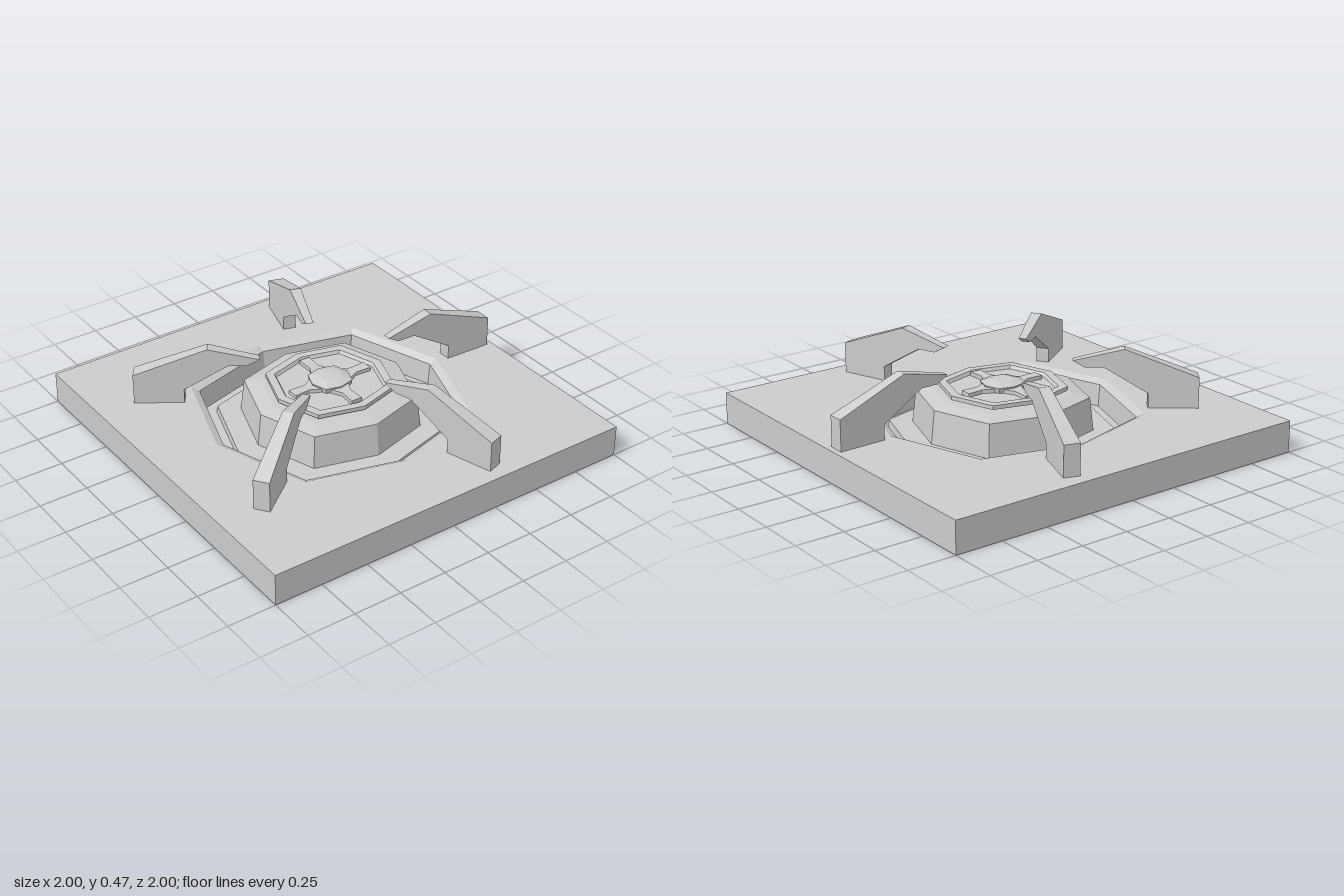
import * as THREE from 'three';

const DECK = 0.165;
const material = new THREE.MeshStandardMaterial({
  color: 0xcccccc, flatShading: true, side: THREE.DoubleSide,
});

function addMesh(parent, name, geometry) {
  const mesh = new THREE.Mesh(geometry, material);
  mesh.name = name;
  parent.add(mesh);
  return mesh;
}

// Irregular octagon: corners on the axes are pulled in, diagonal corners keep full radius.
function squash(x, z) {
  const onX = Math.abs(z) < 1e-4, onZ = Math.abs(x) < 1e-4;
  return [onX ? x * 0.9 : x, onZ ? z * 0.945 : z];
}

function octagonLathe(profile) {
  const geometry = new THREE.LatheGeometry(profile.map(([r, y]) => new THREE.Vector2(r, y)), 8);
  const p = geometry.attributes.position;
  for (let i = 0; i < p.count; i++) {
    const [x, z] = squash(p.getX(i), p.getZ(i));
    p.setX(i, x);
    p.setZ(i, z);
  }
  const flat = geometry.toNonIndexed();
  flat.computeVertexNormals();
  return flat;
}

// Deck with an octagonal opening
function deckGeometry() {
  const shape = new THREE.Shape([[-1, -1], [1, -1], [1, 1], [-1, 1]].map(([x, y]) => new THREE.Vector2(x, y)));
  const corners = [];
  for (let i = 0; i < 8; i++) {
    const a = -i * Math.PI / 4;
    const [x, z] = squash(0.707 * Math.sin(a), 0.707 * Math.cos(a));
    corners.push(new THREE.Vector2(x, z));
  }
  shape.holes.push(new THREE.Path(corners));
  return new THREE.ShapeGeometry(shape).rotateX(-Math.PI / 2).translate(0, DECK, 0);
}

// Hooked arm: side profile in (radius, height), widening away from the centre
function clawGeometry() {
  const shape = new THREE.Shape([
    [0.97, DECK], [0.97, 0.325], [0.6, 0.47], [0.345, 0.41],
    [0.405, 0.375], [0.5, 0.375], [0.72, 0.24], [0.72, DECK],
  ].map(([r, y]) => new THREE.Vector2(r, y)));
  const geometry = new THREE.ExtrudeGeometry(shape, { depth: 1, bevelEnabled: false });
  geometry.translate(0, 0, -0.5);
  const p = geometry.attributes.position;
  for (let i = 0; i < p.count; i++) {
    const t = (p.getX(i) - 0.345) / 0.625;
    p.setZ(i, p.getZ(i) * (0.04 + 0.042 * t));
  }
  geometry.computeVertexNormals();
  return geometry;
}

// Spoke: tapered bar running along +x
function spokeGeometry() {
  const shape = new THREE.Shape([
    [0.04, -0.07], [0.1, -0.045], [0.14, -0.025], [0.225, -0.03],
    [0.225, 0.03], [0.14, 0.025], [0.1, 0.045], [0.04, 0.07],
  ].map(([x, y]) => new THREE.Vector2(x, y)));
  return new THREE.ExtrudeGeometry(shape, { depth: 0.022, bevelEnabled: false })
    .rotateX(-Math.PI / 2).translate(0, 0.268, 0);
}

export function createModel() {
  const model = new THREE.Group();
  model.name = 'platform';

  // Square base, open underneath
  addMesh(model, 'deck', deckGeometry());
  addMesh(model, 'baseWalls',
    new THREE.CylinderGeometry(Math.SQRT2, Math.SQRT2, DECK, 4, 1, true, Math.PI / 4).translate(0, DECK / 2, 0));

  // Sunken moat around the centre
  addMesh(model, 'moat', octagonLathe([
    [0.707, DECK], [0.665, 0.145], [0.655, 0.03], [0.58, 0.03], [0.575, 0.065], [0.455, 0.065],
  ]));

  // Pedestal with a rimmed disc on top
  addMesh(model, 'pedestal', octagonLathe([
    [0.455, 0.065], [0.435, 0.235], [0.35, 0.252], [0.275, 0.252], [0.275, 0.266],
    [0.325, 0.266], [0.325, 0.287], [0.28, 0.287], [0.27, 0.27], [0, 0.27],
  ]));

  // Hub and four spokes
  addMesh(model, 'hub', octagonLathe([
    [0.105, 0.27], [0.112, 0.298], [0.06, 0.314], [0, 0.316],
  ]));
  const spoke = spokeGeometry();
  for (let i = 0; i < 4; i++) addMesh(model, 'spoke', spoke).rotation.y = i * Math.PI / 2;

  // Five claws, the first at the back
  const claw = clawGeometry();
  for (let i = 0; i < 5; i++) addMesh(model, 'claw', claw).rotation.y = Math.PI / 2 + i * Math.PI * 2 / 5;

  return model;
}
